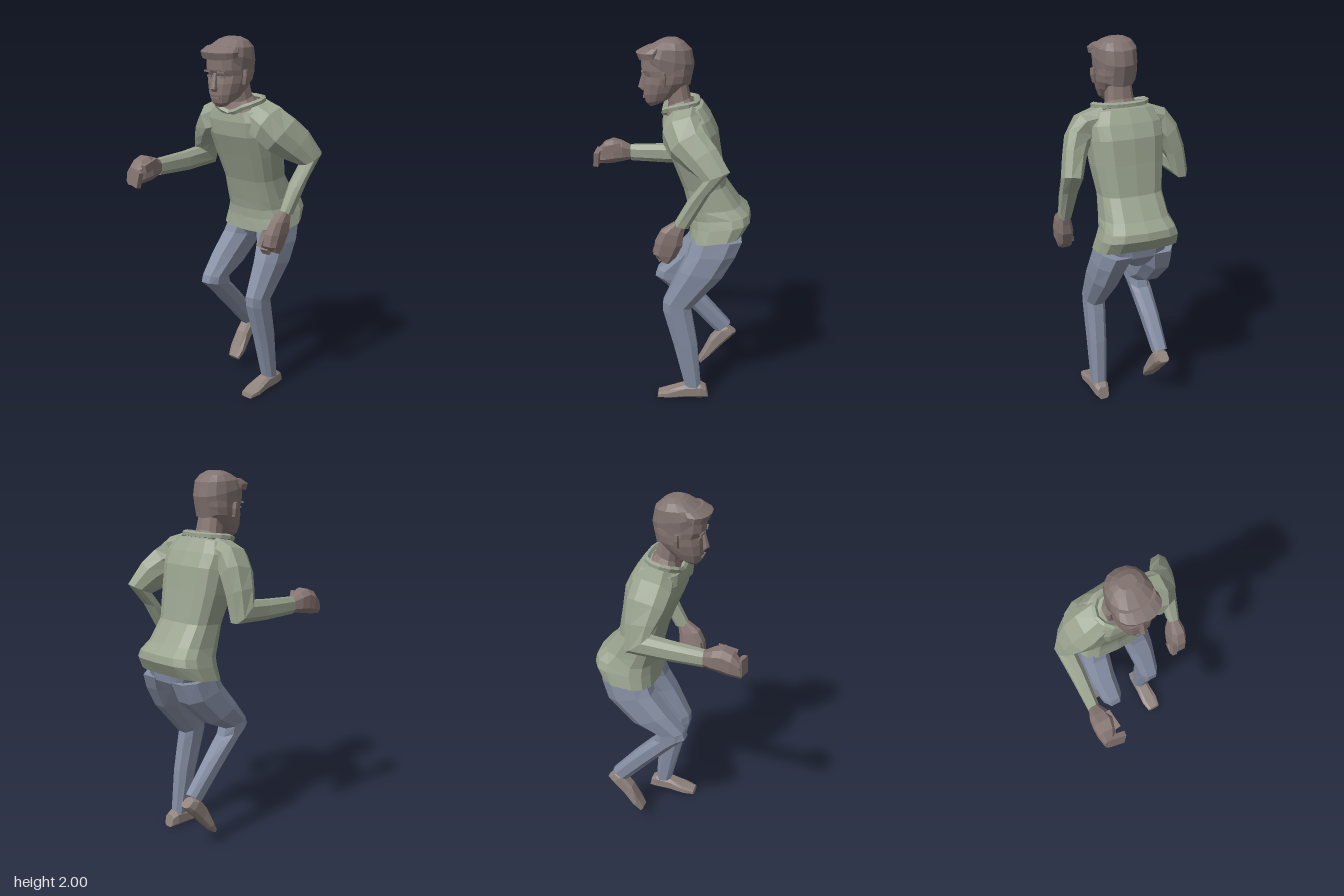
import * as THREE from 'three';

const mat = (name, color) => Object.assign(new THREE.MeshStandardMaterial({ color }), { name });

// Loft through rings.
// Each section: [x, halfWidth, frontZ, frontY, backZ, backY, sideLift = 0, frontTaper = 0]
function loft(sections, sides = 10, power = 0.8) {
  const rings = sections.map(([x, hw, zf, yf, zb, yb, lift = 0, taper = 0]) => {
    const ring = [];
    for (let i = 0; i < sides; i++) {
      const a = ((i + 0.5) / sides) * Math.PI * 2;
      const c = Math.sign(Math.cos(a)) * Math.abs(Math.cos(a)) ** power;
      const s = Math.sign(Math.sin(a)) * Math.abs(Math.sin(a)) ** power;
      ring.push(new THREE.Vector3(
        x + hw * c * (1 - taper * s),
        (yf + yb) / 2 + ((yf - yb) / 2) * s + lift * c,
        (zf + zb) / 2 + ((zf - zb) / 2) * s));
    }
    return ring;
  });
  const tris = [];
  for (let r = 0; r < rings.length - 1; r++) {
    for (let i = 0; i < sides; i++) {
      const j = (i + 1) % sides, A = rings[r], B = rings[r + 1];
      tris.push([A[i], B[i], B[j]], [A[i], B[j], A[j]]);
    }
  }
  // end caps
  const first = rings[0], last = rings[rings.length - 1];
  for (let i = 1; i < sides - 1; i++) {
    tris.push([first[0], first[i], first[i + 1]], [last[0], last[i + 1], last[i]]);
  }
  // make the faces point outwards
  const centre = rings.flat().reduce((v, p) => v.add(p), new THREE.Vector3()).divideScalar(rings.length * sides);
  const rel = (p) => p.clone().sub(centre);
  const volume = tris.reduce((v, [a, b, c]) => v + rel(a).dot(rel(b).cross(rel(c))), 0);
  const pos = tris.flatMap(([a, b, c]) => (volume < 0 ? [a, c, b] : [a, b, c]));
  const geo = new THREE.BufferGeometry().setFromPoints(pos);
  geo.computeVertexNormals();
  return geo;
}

function faceted(geo) {
  const g = geo.toNonIndexed();
  g.computeVertexNormals();
  return g;
}

export function createModel() {
  const model = new THREE.Group();
  model.name = 'runningMan';
  const skin = mat('skin', 0x857571);
  const hair = mat('hair', 0x80726f);
  const sweater = mat('sweater', 0x9aa38f);
  const denim = mat('denim', 0x848da2);
  const shoe = mat('shoe', 0x8f827c);

  const add = (name, geo, material) => {
    const m = new THREE.Mesh(geo, material);
    m.name = name;
    model.add(m);
    return m;
  };
  const box = (name, material, w, h, d, x, y, z, rx = 0, ry = 0, rz = 0) => {
    const m = add(name, faceted(new THREE.BoxGeometry(w, h, d)), material);
    m.position.set(x, y, z);
    m.rotation.set(rx, ry, rz);
  };

  // Sweater body
  add('sweaterBody', loft([
    [0, 0.222, -0.105, 0.925, -0.40, 0.975, 0, 0.06],
    [0, 0.208, -0.112, 1.0, -0.442, 1.045, 0, 0.08],
    [0, 0.192, -0.11, 1.05, -0.435, 1.085, 0, 0.08],
    [0, 0.178, -0.10, 1.10, -0.385, 1.13],
    [0, 0.168, -0.07, 1.22, -0.305, 1.24],
    [0, 0.19, -0.015, 1.36, -0.275, 1.40],
    [0, 0.20, 0.035, 1.48, -0.255, 1.53],
    [0, 0.205, 0.042, 1.56, -0.22, 1.60],
    [0, 0.165, 0.035, 1.61, -0.175, 1.665],
    [0, 0.10, 0.015, 1.60, -0.13, 1.67],
  ], 14, 0.66), sweater);

  // Flat rolled collar, low at the front and spread over the shoulders
  const collarPts = [[0, 1.605, 0.025], [0.09, 1.64, 0.025], [0.145, 1.668, -0.04], [0.11, 1.678, -0.125],
    [0, 1.678, -0.145], [-0.11, 1.678, -0.125], [-0.145, 1.668, -0.04], [-0.09, 1.64, 0.025]];
  const collarPath = new THREE.CatmullRomCurve3(collarPts.map((p) => new THREE.Vector3(...p)), true);
  add('collar', faceted(new THREE.TubeGeometry(collarPath, 16, 0.016, 5, true)), sweater);

  // Sleeves: the left swings back, the right reaches forward
  add('leftSleeve', loft([
    [0.115, 0.01, 0.02, 1.56, -0.17, 1.59, 0.10],
    [0.20, 0.04, 0.035, 1.525, -0.165, 1.585, 0.08],
    [0.255, 0.055, -0.01, 1.45, -0.19, 1.555, 0.055],
    [0.297, 0.055, -0.10, 1.385, -0.25, 1.495, 0.035],
    [0.336, 0.051, -0.18, 1.335, -0.318, 1.39, 0.01],
    [0.326, 0.045, -0.10, 1.225, -0.22, 1.275],
    [0.318, 0.033, -0.03, 1.10, -0.11, 1.08],
  ], 8), sweater);
  add('rightSleeve', loft([
    [-0.115, 0.01, 0.02, 1.56, -0.17, 1.59, -0.095],
    [-0.19, 0.04, 0.035, 1.53, -0.175, 1.575, -0.075],
    [-0.24, 0.055, 0.015, 1.47, -0.19, 1.515, -0.045],
    [-0.281, 0.053, -0.02, 1.41, -0.19, 1.405, -0.02],
    [-0.311, 0.047, -0.05, 1.365, -0.185, 1.255],
    [-0.315, 0.042, 0.05, 1.355, 0.03, 1.245],
    [-0.33, 0.031, 0.24, 1.345, 0.24, 1.25],
  ], 8), sweater);

  // Half-closed hands
  add('leftHand', loft([
    [0.318, 0.026, -0.03, 1.11, -0.095, 1.09],
    [0.314, 0.04, 0.035, 1.065, -0.086, 1.04],
    [0.307, 0.047, 0.068, 1.0, -0.082, 0.985],
    [0.30, 0.046, 0.077, 0.935, -0.05, 0.92],
    [0.295, 0.04, 0.04, 0.9, -0.01, 0.878],
  ], 8, 0.7), skin);
  box('leftFingers', skin, 0.05, 0.035, 0.06, 0.272, 0.91, 0.025, 0.6, 0, 0.1);
  box('leftThumb', skin, 0.028, 0.09, 0.035, 0.264, 0.965, 0.05, -0.3, 0, -0.15);
  add('rightHand', loft([
    [-0.33, 0.026, 0.23, 1.335, 0.23, 1.26],
    [-0.328, 0.052, 0.29, 1.365, 0.28, 1.25],
    [-0.326, 0.06, 0.34, 1.38, 0.33, 1.24],
    [-0.332, 0.053, 0.39, 1.36, 0.375, 1.232],
    [-0.342, 0.03, 0.43, 1.315, 0.437, 1.228],
  ], 8, 0.7), skin);
  box('rightFingers', skin, 0.09, 0.085, 0.028, -0.308, 1.274, 0.43, -0.12, -0.12, -0.2);
  box('rightThumb', skin, 0.03, 0.045, 0.1, -0.283, 1.33, 0.345, 0.25, 0.1, 0);

  // Neck and head
  add('neck', loft([
    [0, 0.105, 0.022, 1.60, -0.13, 1.672],
    [0, 0.075, 0.008, 1.66, -0.108, 1.70],
    [0, 0.068, 0.02, 1.73, -0.09, 1.78],
  ], 10), skin);
  add('head', loft([
    [0, 0.036, 0.105, 1.645, 0.03, 1.675],
    [0, 0.068, 0.128, 1.668, -0.02, 1.70],
    [0, 0.088, 0.14, 1.71, -0.07, 1.745],
    [0, 0.103, 0.14, 1.77, -0.10, 1.78],
    [0, 0.107, 0.133, 1.81, -0.115, 1.82],
    [0, 0.108, 0.15, 1.84, -0.12, 1.85],
    [0, 0.106, 0.153, 1.92, -0.115, 1.91],
  ], 14, 0.85), skin);
  add('nose', loft([
    [0, 0.010, 0.145, 1.825, 0.12, 1.825],
    [0, 0.018, 0.168, 1.745, 0.12, 1.745],
    [0, 0.016, 0.15, 1.73, 0.12, 1.73],
  ], 6), skin);
  box('mouth', hair, 0.06, 0.008, 0.008, 0, 1.697, 0.137);
  for (const [side, s] of [['left', 1], ['right', -1]]) {
    add(`${side}Ear`, loft([
      [s * 0.104, 0.014, 0.038, 1.765, 0.02, 1.765],
      [s * 0.113, 0.016, 0.042, 1.81, 0.014, 1.81],
      [s * 0.115, 0.014, 0.04, 1.84, 0.018, 1.84],
    ], 6), skin);
    box(`${side}Eye`, hair, 0.03, 0.01, 0.008, s * 0.045, 1.805, 0.13, 0, s * 0.15);
    box(`${side}Brow`, hair, 0.045, 0.01, 0.009, s * 0.047, 1.832, 0.142, 0, s * 0.15);
  }

  // Hair cap running down to the nape, with a swept-up front
  add('hairCap', loft([
    [0, 0.108, 0.135, 1.905, -0.105, 1.76, 0, -0.06],
    [0, 0.113, 0.145, 1.925, -0.127, 1.87, 0, -0.08],
    [0, 0.106, 0.115, 1.958, -0.112, 1.945, 0, -0.06],
    [0, 0.08, 0.06, 1.988, -0.075, 1.98],
    [0, 0.045, 0.03, 2.0, -0.04, 2.0],
  ], 14, 0.85), hair);
  add('hairFront', loft([
    [0, 0.108, 0.163, 1.893, 0.03, 1.915],
    [0, 0.113, 0.178, 1.93, 0.03, 1.935, 0, 0.06],
    [0, 0.10, 0.125, 1.958, 0.03, 1.955, 0, 0.06],
  ], 14, 0.9), hair);

  // Trousers
  add('trouserSeat', loft([
    [0, 0.19, -0.12, 0.97, -0.40, 1.0],
    [0, 0.15, -0.125, 0.925, -0.39, 0.93],
    [0, 0.05, -0.16, 0.878, -0.34, 0.86],
  ], 12, 0.7), denim);
  add('leftTrouserLeg', loft([
    [0.11, 0.097, -0.12, 0.96, -0.40, 0.94],
    [0.131, 0.09, -0.095, 0.87, -0.365, 0.86],
    [0.145, 0.079, -0.05, 0.78, -0.295, 0.74],
    [0.15, 0.058, 0.035, 0.595, -0.125, 0.55],
    [0.151, 0.056, 0.035, 0.54, -0.135, 0.50],
    [0.155, 0.051, -0.025, 0.33, -0.163, 0.33],
    [0.16, 0.042, -0.09, 0.075, -0.185, 0.065],
  ], 8), denim);
  add('rightTrouserLeg', loft([
    [-0.105, 0.092, -0.13, 0.96, -0.40, 0.94],
    [-0.12, 0.086, -0.10, 0.89, -0.36, 0.83],
    [-0.131, 0.075, -0.01, 0.78, -0.21, 0.69],
    [-0.128, 0.062, 0.08, 0.67, -0.085, 0.635],
    [-0.128, 0.061, 0.094, 0.63, -0.10, 0.59],
    [-0.131, 0.058, 0.03, 0.575, -0.125, 0.57],
    [-0.137, 0.05, -0.12, 0.42, -0.215, 0.48],
    [-0.14, 0.039, -0.265, 0.265, -0.35, 0.325],
  ], 8), denim);

  // Shoes: one planted, one kicked back
  const shoeGeo = loft([
    [0, 0.032, -0.21, 0.07, -0.224, 0.0],
    [0, 0.042, -0.18, 0.088, -0.18, 0.0],
    [0, 0.043, -0.09, 0.08, -0.09, 0.0],
    [0, 0.05, 0.0, 0.045, 0.0, 0.0],
    [0, 0.038, 0.058, 0.028, 0.062, 0.0],
  ], 8, 0.6);
  add('leftShoe', shoeGeo, shoe).position.set(0.16, 0, 0);
  const kicked = add('rightShoe', shoeGeo, shoe);
  kicked.position.set(-0.14, 0.104, -0.224);
  kicked.rotation.x = Math.PI / 4;

  return model;
}
